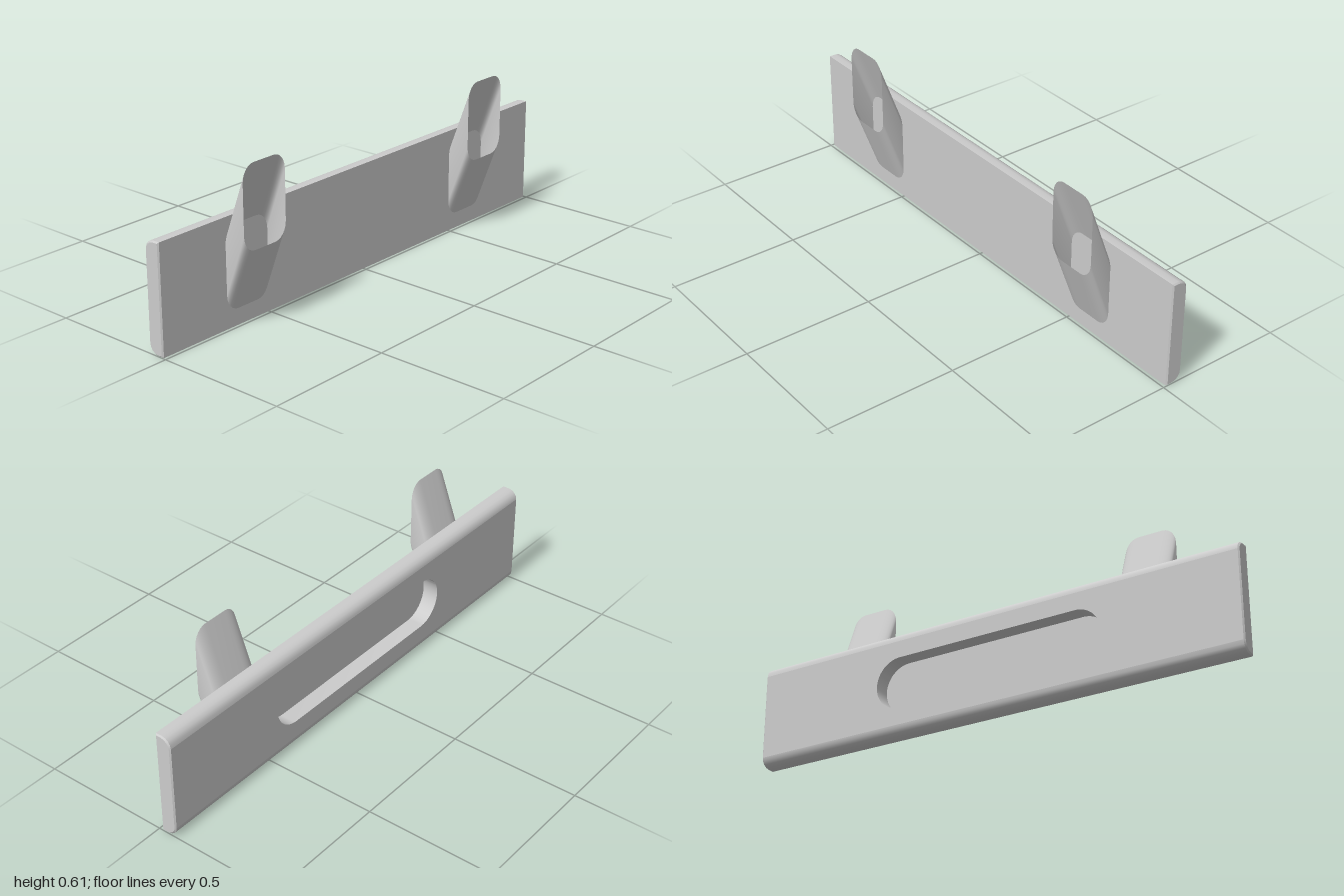
import * as THREE from 'three';
import { toCreasedNormals } from 'three/addons/utils/BufferGeometryUtils.js';

const BACK = -0.0755, FRONT = -0.0125, TIP = 0.0755, H = 0.408;
const CORNER = 0.037, BEVEL = 0.005;

// Joins equal rings of Vector3 with quads; skipEdge(i, j) leaves an opening
function loft(rings, skipEdge = () => false) {
  const pos = [];
  const n = rings[0].length;
  for (let i = 0; i < rings.length - 1; i++) {
    for (let j = 0; j < n; j++) {
      if (skipEdge(i, j)) continue;
      const k = (j + 1) % n;
      const a = rings[i][j], b = rings[i][k], c = rings[i + 1][k], d = rings[i + 1][j];
      for (const p of [a, b, c, a, c, d]) pos.push(p.x, p.y, p.z);
    }
  }
  const g = new THREE.BufferGeometry();
  g.setAttribute('position', new THREE.Float32BufferAttribute(pos, 3));
  return toCreasedNormals(g, 0.7);
}

// Plate end profile, counter-clockwise in x/y; the closing edge is the flat back
function plateProfile(inset) {
  const x0 = BACK + inset, x1 = FRONT - inset, y0 = inset, y1 = H - inset;
  const r = CORNER - inset / 2, pts = [];
  for (let i = 0; i <= 4; i++) {
    const a = Math.PI + (i / 4) * Math.PI / 2;
    pts.push(new THREE.Vector2(x0 + r + r * Math.cos(a), y0 + r + r * Math.sin(a)));
  }
  pts.push(new THREE.Vector2(x1, y0), new THREE.Vector2(x1, y1));
  for (let i = 0; i <= 4; i++) {
    const a = Math.PI / 2 + (i / 4) * Math.PI / 2;
    pts.push(new THREE.Vector2(x0 + r + r * Math.cos(a), y1 - r + r * Math.sin(a)));
  }
  return pts;
}

// Stadium outline of the slot, in z/y
function slotPoints() {
  const p = new THREE.Path(), r = 0.1, cx = 0.37, cy = H / 2;
  p.absarc(cx, cy, r, -Math.PI / 2, Math.PI / 2, false);
  p.absarc(-cx, cy, r, Math.PI / 2, Math.PI * 1.5, false);
  return p.getPoints(16);
}

function createPlate(material) {
  const plate = new THREE.Group();
  plate.name = 'plate';
  const add = (name, geometry) => {
    const m = new THREE.Mesh(geometry, material);
    m.name = name;
    plate.add(m);
    return m;
  };

  // Outer skin with bevelled ends, open where the slotted back face sits
  const ring = (inset, z) => plateProfile(inset).map(p => new THREE.Vector3(p.x, p.y, z));
  const rings = [ring(BEVEL, -1), ring(0, -1 + BEVEL), ring(0, 1 - BEVEL), ring(BEVEL, 1)];
  const last = rings[0].length - 1;
  add('plateSkin', loft(rings, (i, j) => i === 1 && j === last));

  // Flat end faces
  const cap = new THREE.ShapeGeometry(new THREE.Shape(plateProfile(BEVEL)));
  add('plateEndFront', cap).position.z = 1;
  const rearCap = cap.clone().rotateY(Math.PI);
  rearCap.scale(1, 1, 1);
  const rear = add('plateEndRear', new THREE.ShapeGeometry(
    new THREE.Shape(plateProfile(BEVEL).map(p => new THREE.Vector2(-p.x, p.y)))).rotateY(Math.PI));
  rear.position.z = -1;

  // Back face with the slot cut out
  const w = 1 - BEVEL, face = new THREE.Shape([
    new THREE.Vector2(-w, CORNER), new THREE.Vector2(w, CORNER),
    new THREE.Vector2(w, H - CORNER), new THREE.Vector2(-w, H - CORNER)]);
  const slot = slotPoints();
  face.holes.push(new THREE.Path(slot));
  add('plateBack', new THREE.ShapeGeometry(face).rotateY(-Math.PI / 2)).position.x = BACK;

  // Slot wall, facing inwards
  const wallRing = x => slot.map(p => new THREE.Vector3(x, p.y, p.x));
  add('slotWall', loft([wallRing(BACK), wallRing(FRONT)]));
  return plate;
}

// Hollow slanted peg, open at the tip
function pegGeometry() {
  const hy = 0.155, hz = 0.1, ry = 0.062, rz = 0.052, steps = 6;
  const ring = (x, cy) => {
    const pts = [];
    for (let q = 0; q < 4; q++) {
      const sy = q === 0 || q === 3 ? 1 : -1, sz = q < 2 ? 1 : -1;
      for (let i = 0; i <= steps; i++) {
        const a = (q + i / steps) * Math.PI / 2;
        pts.push(new THREE.Vector3(x,
          cy + sy * (hy - ry) + ry * Math.cos(a),
          sz * (hz - rz) + rz * Math.sin(a)));
      }
    }
    return pts;
  };
  return loft([ring(FRONT, 0.217), ring(TIP, 0.453)]);
}

export function createModel() {
  const model = new THREE.Group();
  model.name = 'pegRail';
  const grey = new THREE.MeshStandardMaterial({ color: 0xcccccc, side: THREE.DoubleSide });
  grey.name = 'lightGrey';

  model.add(createPlate(grey));

  const geometry = pegGeometry();
  for (const [name, z] of [['frontPeg', 0.6], ['rearPeg', -0.6]]) {
    const peg = new THREE.Mesh(geometry, grey);
    peg.name = name;
    peg.position.z = z;
    model.add(peg);
  }
  return model;
}
